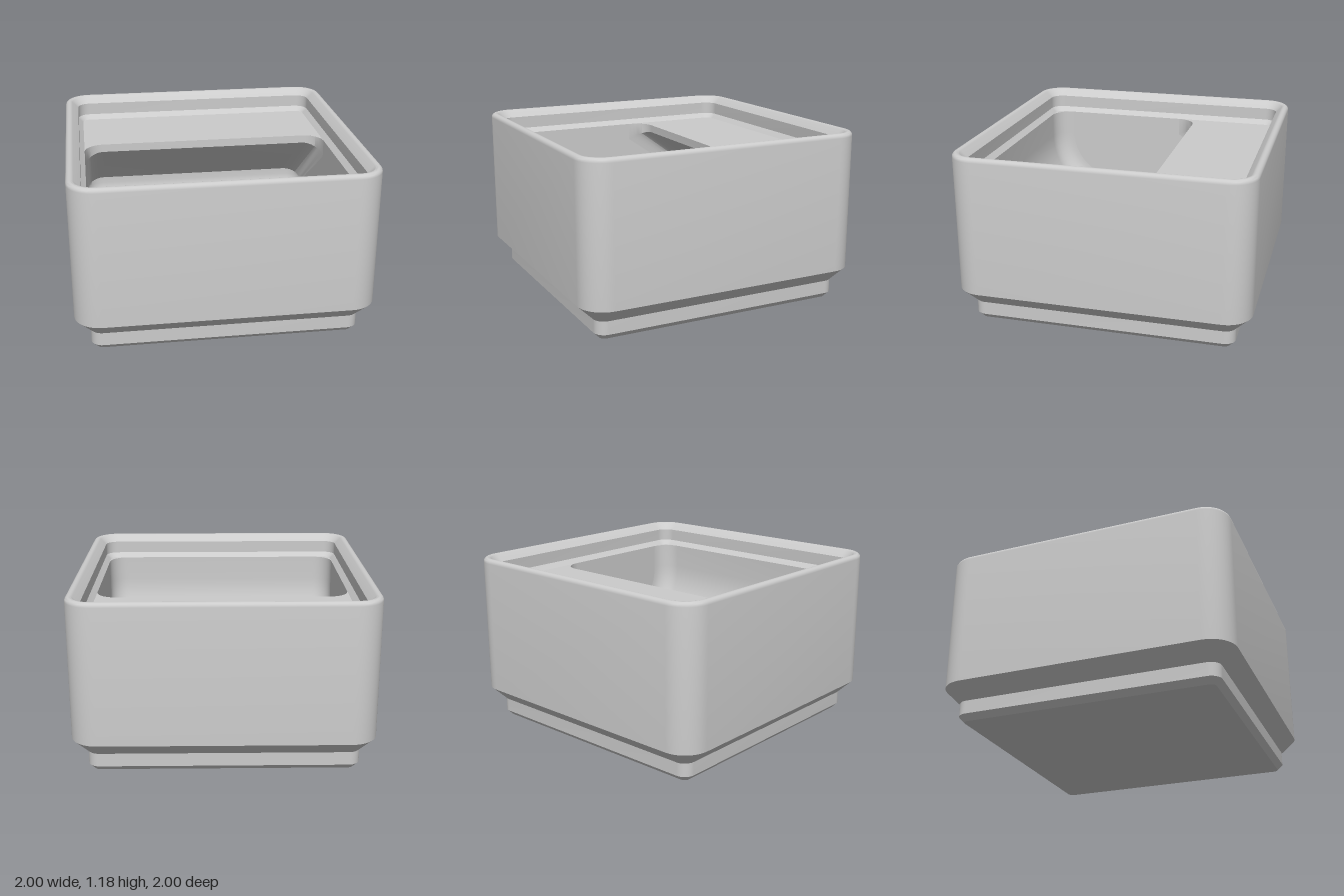
import * as THREE from 'three';
import { toCreasedNormals } from 'three/addons/utils/BufferGeometryUtils.js';

const INNER = 0.875;            // half width of the compartment
const FLOOR = 0.337, TOP = 1.012; // compartment floor and shelf heights
const R = 0.135, SCOOP = 0.5;   // compartment edge rounding, front scoop radius
const SHELF_Z = -0.275, SHELF_EDGE = 0.955, SLOPE = Math.PI / 5;

// Skin through equal-length cross-sections
function loft(sections, closed) {
  const n = sections[0].length, index = [];
  for (let i = 0; i < sections.length - 1; i++) {
    for (let j = 0; j < (closed ? n : n - 1); j++) {
      const k = (j + 1) % n;
      const a = i * n + j, b = i * n + k, c = a + n, d = b + n;
      index.push(a, c, b, b, c, d);
    }
  }
  const g = new THREE.BufferGeometry();
  g.setAttribute('position', new THREE.Float32BufferAttribute(sections.flat(2), 3));
  g.setIndex(index);
  return toCreasedNormals(g, 0.6);
}

// Rounded square; corners stay concentric with the outer wall
function ring(half, y) {
  const r = 0.18 - (1 - half), pts = [];
  for (let q = 0; q < 4; q++) {
    const mid = Math.PI / 4 + q * Math.PI / 2;
    const cx = Math.sign(Math.cos(mid)) * (half - r), cz = Math.sign(Math.sin(mid)) * (half - r);
    for (let s = 0; s <= 10; s++) {
      const t = (q + s / 10) * Math.PI / 2;
      pts.push([cx + r * Math.cos(t), y, cz + r * Math.sin(t)]);
    }
  }
  return pts;
}

// Compartment profile as [z, y], inset by d: shelf edge, sloped underside, back, floor, scoop, front
function section(d) {
  const slopeY = z => SHELF_EDGE - (d - Math.sin(SLOPE) * (z - SHELF_Z)) / Math.cos(SLOPE);
  const front = SHELF_Z + d, back = -INNER + d;
  const pts = [[front, TOP], [front, slopeY(front)], [back, Math.max(slopeY(back), FLOOR + R + 0.002)]];
  const arc = (cz, r, from, steps) => {
    for (let s = 0; s <= steps; s++) {
      const t = from + s / steps * Math.PI / 2;
      pts.push([cz + (r - d) * Math.cos(t), FLOOR + r + (r - d) * Math.sin(t)]);
    }
  };
  arc(-INNER + R, R + 0.001, Math.PI, 8);
  arc(INNER - SCOOP, SCOOP, Math.PI * 1.5, 14);
  pts.push([INNER - d, TOP]);
  return pts;
}

export function createModel() {
  const group = new THREE.Group();
  const solid = new THREE.MeshStandardMaterial({ color: 0xcccccc });
  const sheet = new THREE.MeshStandardMaterial({ color: 0xcccccc, side: THREE.DoubleSide });
  const add = (name, geometry, material = solid) => {
    const mesh = new THREE.Mesh(geometry, material);
    mesh.name = name;
    group.add(mesh);
    return mesh;
  };

  // Stepped foot, outer wall, rounded rim and stacking lip
  const profile = [[0.858, 0], [0.896, 0.039], [0.896, 0.13], [1, 0.231]];
  for (let s = 0; s <= 8; s++) {
    const t = s / 8 * Math.PI * 0.75;
    profile.push([0.971 + 0.029 * Math.cos(t), 1.156 + 0.029 * Math.sin(t)]);
  }
  profile.push([0.908, 1.133], [0.908, 1.046], [INNER, TOP]);
  add('outerShell', loft(profile.map(([h, y]) => ring(h, y)), true));

  // Underside
  const base = new THREE.Shape(ring(0.858, 0).map(p => new THREE.Vector2(p[0], p[2])));
  add('underside', new THREE.ShapeGeometry(base).rotateX(Math.PI / 2));

  // Compartment with rounded ends
  const stations = [];
  for (let s = 0; s <= 8; s++) {
    const t = s / 8 * Math.PI / 2;
    stations.push([INNER - R + R * Math.sin(t), R * (1 - Math.cos(t))]);
  }
  const ends = [...stations].reverse().concat(stations.map(([x, d]) => [-x, d]));
  add('compartment', loft(ends.map(([x, d]) => section(d).map(([z, y]) => [x, y, z])), false));

  // Flat side walls of the compartment
  const side = new THREE.Shape(section(R).map(p => new THREE.Vector2(...p)));
  for (const x of [-INNER, INNER]) {
    add(x > 0 ? 'leftInnerWall' : 'rightInnerWall',
      new THREE.ShapeGeometry(side).rotateY(-Math.PI / 2), sheet).position.x = x;
  }

  // Label shelf along the back, its front edge curving into the side walls
  const shelf = new THREE.Shape();
  shelf.moveTo(-INNER, INNER);
  shelf.lineTo(-INNER, -SHELF_Z - R);
  shelf.absarc(-INNER + R, -SHELF_Z - R, R, Math.PI, Math.PI / 2, true);
  shelf.absarc(INNER - R, -SHELF_Z - R, R, Math.PI / 2, 0, true);
  shelf.lineTo(INNER, INNER);
  add('labelShelf', new THREE.ShapeGeometry(shelf).rotateX(-Math.PI / 2), sheet).position.y = TOP;

  // Front corner ledges
  for (const s of [-1, 1]) {
    const corner = new THREE.Shape();
    corner.moveTo(s * INNER, -INNER);
    corner.lineTo(s * INNER, -INNER + R);
    for (let i = 1; i <= 8; i++) {
      const t = i / 8 * Math.PI / 2;
      corner.lineTo(s * (INNER - R + R * Math.cos(t)), -INNER + R - R * Math.sin(t));
    }
    add(s > 0 ? 'leftCornerLedge' : 'rightCornerLedge',
      new THREE.ShapeGeometry(corner).rotateX(-Math.PI / 2), sheet).position.y = TOP;
  }
  return group;
}
